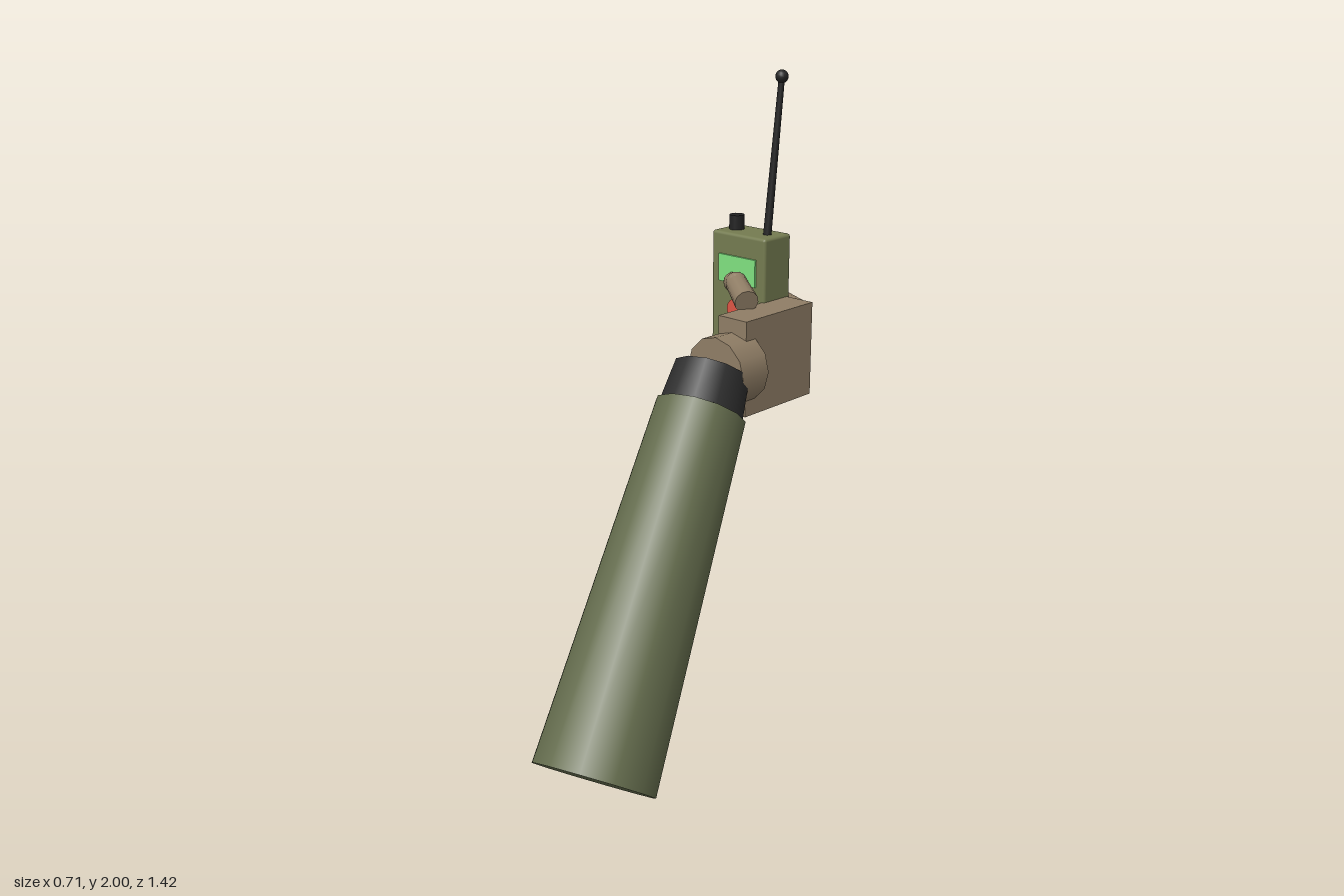
import * as THREE from 'three';
import { RoundedBoxGeometry } from 'three/addons/geometries/RoundedBoxGeometry.js';

const mat = (color) => new THREE.MeshStandardMaterial({ color });
const V = (x, y, z) => new THREE.Vector3(x, y, z);

export function createModel() {
  const model = new THREE.Group();
  model.name = 'handWithRadio';
  const skin = mat(0x8f7d65), cloth = mat(0x626a4b), cuffMat = mat(0x2b2b2b);
  const casing = mat(0x747b50), black = mat(0x222222);
  const screenMat = mat(0x80e080), red = mat(0xdd5544);

  const add = (parent, name, geometry, material, x = 0, y = 0, z = 0) => {
    const mesh = new THREE.Mesh(geometry, material);
    mesh.name = name;
    mesh.position.set(x, y, z);
    parent.add(mesh);
    return mesh;
  };

  // Tapered cylinder running from point a to point b
  const rod = (parent, name, a, b, ra, rb, material, sides = 12) => {
    const mesh = add(parent, name, new THREE.CylinderGeometry(rb, ra, a.distanceTo(b), sides), material);
    mesh.position.copy(a).lerp(b, 0.5);
    mesh.quaternion.setFromUnitVectors(V(0, 1, 0), b.clone().sub(a).normalize());
    return mesh;
  };

  // Jointed digit: one rod per bone, with a ball at each joint and at the tip
  const digit = (name, points, radii) => {
    const group = new THREE.Group();
    group.name = name;
    for (let i = 1; i < points.length; i++) {
      rod(group, 'bone', points[i - 1], points[i], radii[i - 1], radii[i], skin);
      add(group, 'joint', new THREE.SphereGeometry(radii[i] * 1.03, 12, 8), skin, ...points[i].toArray());
    }
    model.add(group);
  };

  // Forearm: sleeve, cuff and wrist
  const elbow = V(0.163, 0.117, 0.562), sleeveTop = V(-0.048, 1.015, -0.118);
  const cuffTop = V(-0.075, 1.118, -0.198);
  rod(model, 'sleeve', elbow, sleeveTop, 0.19, 0.145, cloth);
  rod(model, 'cuff', sleeveTop, cuffTop, 0.135, 0.122, cuffMat);
  rod(model, 'wrist', V(-0.065, 1.115, -0.205), V(-0.065, 1.115, -0.325), 0.115, 0.115, skin);

  // Palm
  add(model, 'palm', new THREE.BoxGeometry(0.115, 0.31, 0.325), skin, -0.063, 1.12, -0.443);

  // Four fingers curling round the back of the radio
  [0.95, 1, 0.95, 0.89].forEach((s, i) => {
    const y = 1.238 - i * 0.08;
    const path = [[0, 0], [-0.135, -0.07], [-0.23, -0.035], [-0.268, 0.03]];
    digit('finger', path.map(([x, z]) => V(-0.062 + x * s, y, -0.605 + z * s)),
      [0.037, 0.034, 0.031, 0.027].map((r) => r * (0.5 + s * 0.5)));
  });

  // Thumb across the front
  digit('thumb', [V(-0.1, 1.3, -0.39), V(-0.2, 1.333, -0.455), V(-0.228, 1.328, -0.472)],
    [0.039, 0.035, 0.032]);

  // Radio casing with screen, button and speaker slots
  const radio = new THREE.Group();
  radio.name = 'radio';
  radio.position.set(-0.225, 1.215, -0.555);
  model.add(radio);
  add(radio, 'casing', new RoundedBoxGeometry(0.226, 0.534, 0.13, 2, 0.01), casing);
  add(radio, 'screen', new THREE.BoxGeometry(0.155, 0.09, 0.012), screenMat, 0, 0.15, 0.066);
  const button = add(radio, 'button', new THREE.CylinderGeometry(0.037, 0.037, 0.016, 20), red, 0, 0.018, 0.067);
  button.rotation.x = Math.PI / 2;
  for (let i = 0; i < 4; i++) {
    add(radio, 'speakerSlot', new THREE.BoxGeometry(0.155, 0.01, 0.008), black, 0, -0.08 - i * 0.031, 0.065);
  }

  // Knob and antenna on top
  add(radio, 'knob', new THREE.CylinderGeometry(0.025, 0.025, 0.055, 14), black, -0.063, 0.287, 0);
  const base = V(0.066, 0.255, 0), tip = V(0.083, 0.763, -0.037);
  rod(radio, 'antenna', base, tip, 0.014, 0.01, black, 10);
  add(radio, 'antennaTip', new THREE.SphereGeometry(0.021, 12, 10), black, ...tip.toArray());

  return model;
}
